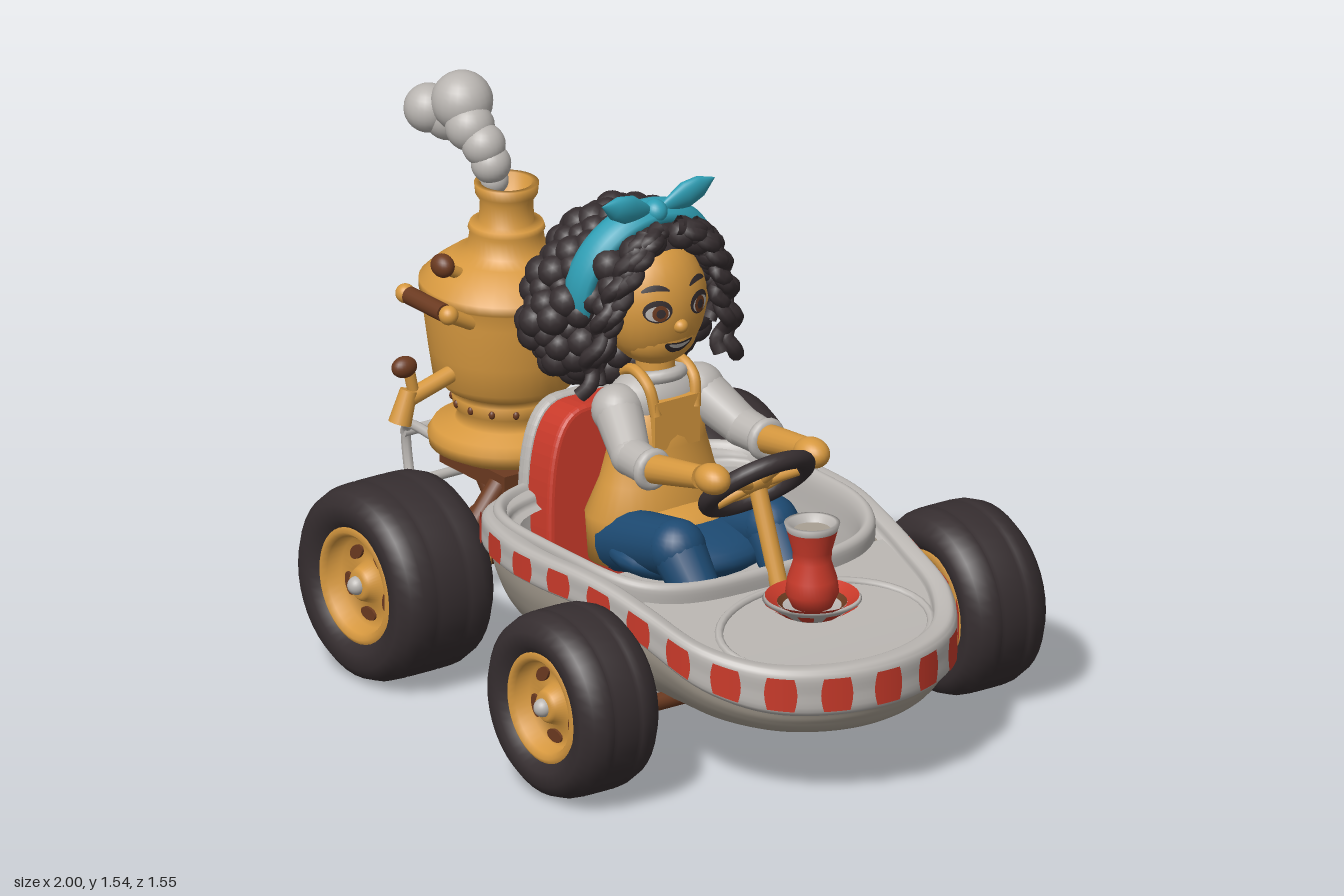
import * as THREE from 'three';
import { mergeGeometries } from 'three/addons/utils/BufferGeometryUtils.js';
import { ParametricGeometry } from 'three/addons/geometries/ParametricGeometry.js';

const V = (x, y, z) => new THREE.Vector3(x, y, z);
const mat = (name, color) => Object.assign(new THREE.MeshStandardMaterial({ color, side: THREE.DoubleSide }), { name });
const dark = mat('dark rubber and hair', 0x362e30), gold = mat('warm gold', 0xd6983f), grey = mat('pale grey', 0xb9b5b1);
const beige = mat('shaded beige', 0xa89f92), red = mat('red', 0xc93a2a), teal = mat('teal', 0x2f9fb5);
const navy = mat('navy', 0x1d4a72), brown = mat('brown', 0x6b3a20);

function add(parent, name, geo, material, pos = [0, 0, 0], rot = [0, 0, 0], scale = [1, 1, 1]) {
  const m = new THREE.Mesh(geo, material);
  m.name = name;
  m.position.set(...pos); m.rotation.set(...rot); m.scale.set(...scale);
  parent.add(m);
  return m;
}
function group(parent, name, pos = [0, 0, 0]) {
  const g = new THREE.Group();
  g.name = name; g.position.set(...pos); parent.add(g);
  return g;
}
const ball = (p, name, material, pos, r) => add(p, name, new THREE.SphereGeometry(1, 24, 16), material, pos, [0, 0, 0], Array.isArray(r) ? r : [r, r, r]);
const lathe = (pts, seg = 40, start = 0, len = Math.PI * 2) => new THREE.LatheGeometry(pts.map(p => new THREE.Vector2(...p)), seg, start, len);
const tube = (pts, r, closed = false) => new THREE.TubeGeometry(new THREE.CatmullRomCurve3(pts.map(p => V(...p)), closed), 48, r, 8, closed);
function rod(parent, name, material, a, b, r1, r2 = r1) {
  const A = V(...a), B = V(...b), d = B.clone().sub(A);
  const m = add(parent, name, new THREE.CylinderGeometry(r2, r1, d.length(), 18), material);
  m.position.copy(A).add(B).multiplyScalar(0.5);
  m.quaternion.setFromUnitVectors(V(0, 1, 0), d.normalize());
  return m;
}

// Hull: one plan outline, a section swept round it, and a rim that falls toward the nose
const half = [[-0.38, 0], [-0.37, 0.25], [-0.3, 0.42], [-0.1, 0.5], [0.1, 0.51], [0.35, 0.475], [0.5, 0.455], [0.7, 0.42], [0.87, 0.31], [0.96, 0.16], [0.99, 0]];
const plan = [...half, ...half.slice(1, -1).reverse().map(([x, z]) => [x, -z])];
const outline = new THREE.CatmullRomCurve3(plan.map(([x, z]) => V(x, 0, z)), true);
const top = x => 0.54 - 0.13 * THREE.MathUtils.smoothstep(x, 0.15, 1);
const bandLow = x => top(x) - 0.1 - 0.04 * THREE.MathUtils.smoothstep(x, 0.3, 1);
function hullPoint(p, s, g, target) {
  const x = 0.3 + (p.x - 0.3) * s, low = bandLow(p.x);
  const y = g < 1 ? 0.18 + g * (low - 0.18) : low + (g - 1) * (top(p.x) - low);
  const tuck = 1 - 0.2 * Math.max(0, 1 - g) ** 2;
  return target.set(x, y, p.z * s * tuck);
}
function sweep(section, stacks) {
  const c = new THREE.CatmullRomCurve3(section.map(([s, g]) => V(s, g, 0)));
  return new ParametricGeometry((u, v, t) => {
    const q = c.getPoint(v);
    hullPoint(outline.getPointAt(u % 1), q.x, q.y, t);
  }, 120, stacks);
}

function buildBody(root) {
  const body = group(root, 'body');
  add(body, 'hullBottom', sweep([[0, 0], [0.55, 0], [0.8, 0.05], [0.9, 0.3], [0.95, 0.75], [0.965, 1]], 24), beige);
  add(body, 'hullBand', sweep([[0.965, 1], [0.993, 1.08], [1, 1.5], [0.993, 1.9], [0.965, 2], [0.91, 1.97], [0.88, 1.7], [0.85, 1.65]], 30), grey);
  for (let i = 2; i < 25; i++) add(body, 'bandSpot', new ParametricGeometry((u, v, t) => {
    const w = 0.0092 + 0.002 * Math.sin(v * Math.PI);
    hullPoint(outline.getPointAt(i / 26 + (u - 0.5) * 2 * w), 1.007, 1.15 + v * 0.68, t);
  }, 6, 6), red);
  // cockpit tub
  const section = new THREE.CatmullRomCurve3([[1, -0.05], [1, 0.005], [0.96, 0.015], [0.925, -0.01], [0.9, -0.1], [0.86, -0.21], [0.78, -0.245], [0, -0.245]].map(([s, d]) => V(s, d, 0)));
  const pw = a => Math.sign(a) * Math.abs(a) ** 0.55;
  add(body, 'cockpitTub', new ParametricGeometry((u, v, t) => {
    const a = u * Math.PI * 2, q = section.getPoint(v);
    const x = 0.05 + 0.42 * pw(Math.cos(a)) * q.x;
    t.set(x, top(x) + q.y, 0.46 * pw(Math.sin(a)) * q.x);
  }, 96, 32), grey);
  // nose deck and its oval ridge
  add(body, 'noseDeck', new ParametricGeometry((u, v, t) => {
    const p = outline.getPoint(0.27 + u * 0.23), x = 0.3 + (p.x - 0.3) * 0.88;
    t.set(x, top(x) - 0.035, (2 * v - 1) * p.z * 0.88);
  }, 24, 12), grey);
  const ridge = [];
  for (let i = 0; i < 24; i++) {
    const a = i / 24 * Math.PI * 2, x = 0.7 + 0.21 * Math.cos(a);
    ridge.push([x, top(x) - 0.035, 0.32 * Math.sin(a)]);
  }
  add(body, 'deckRidge', tube(ridge, 0.012, true), grey);
  // reclined seat back
  const shape = w => {
    const s = new THREE.Shape();
    s.moveTo(-w, 0.3); s.lineTo(w, 0.3);
    s.bezierCurveTo(w, 0.6, w * 0.95, 0.82, w * 0.45, 0.82);
    s.lineTo(-w * 0.45, 0.82);
    s.bezierCurveTo(-w * 0.95, 0.82, -w, 0.6, -w, 0.3);
    return s;
  };
  const ext = depth => ({ depth, bevelSize: 0.015, bevelThickness: 0.015, bevelSegments: 3, curveSegments: 16 });
  const seat = group(body, 'seat', [0.05, 0, 0]);
  seat.rotation.z = 0.08;
  add(seat, 'seatShell', new THREE.ExtrudeGeometry(shape(0.25), ext(0.015)), grey, [-0.365, -0.025, 0], [0, Math.PI / 2, 0]);
  add(seat, 'seatCushion', new THREE.ExtrudeGeometry(shape(0.24), ext(0.085)), red, [-0.335, -0.035, 0], [0, Math.PI / 2, 0]);
  // tea glass on a saucer with a spotted underside
  const tea = group(body, 'teaGlass', [0.64, 0.43, 0]);
  add(tea, 'saucer', lathe([[0, 0], [0.07, 0.005], [0.135, 0.05], [0.13, 0.055], [0.08, 0.025], [0, 0.02]]), grey);
  add(tea, 'saucerRing', lathe([[0.095, 0.04], [0.128, 0.06]]), red);
  add(tea, 'saucerInnerRing', lathe([[0.08, 0.031], [0.095, 0.042]]), brown);
  for (let i = 0; i < 10; i++) add(tea, 'saucerSpot', lathe([[0.087, 0.013], [0.131, 0.043]], 5, i * Math.PI / 5, 0.36), red);
  add(tea, 'glass', lathe([[0, 0.025], [0.055, 0.03], [0.073, 0.07], [0.068, 0.11], [0.052, 0.16], [0.054, 0.19], [0.07, 0.25]]), red);
  add(tea, 'glassLip', lathe([[0.07, 0.25], [0.076, 0.27], [0.064, 0.27], [0.05, 0.25]]), grey);
  add(tea, 'teaSurface', new THREE.CircleGeometry(0.055, 32), beige, [0, 0.25, 0], [-Math.PI / 2, 0, 0]);
}

function buildWheel(root, name, x, z, R, w) {
  const g = group(root, name, [x, R + 0.007, z]);
  g.rotation.x = Math.sign(z) * Math.PI / 2;
  const h = w / 2, k = R * 0.59;
  const side = [[k, h - 0.025], [k + 0.025, h - 0.003], [R - 0.045, h], [R - 0.015, h - 0.025], [R - 0.002, h - 0.06], [R, h * 0.36], [R - 0.008, h * 0.31], [R, h * 0.26]];
  add(g, 'tire', lathe([...side, ...side.map(([r, y]) => [r, -y]).reverse()]), dark);
  const dish = [[k + 0.004, h - 0.025], [k - 0.012, h - 0.015], [k - 0.025, h - 0.03], [k - 0.035, h - 0.07], [0.06, h - 0.075], [0.045, h - 0.04], [0.035, h - 0.03], [0, h - 0.03]];
  add(g, 'rim', lathe(dish), gold);
  add(g, 'rimInner', lathe(dish.map(([r, y]) => [r, -y])), gold);
  ball(g, 'hubCap', grey, [0, h - 0.03, 0], 0.026);
  rod(g, 'innerHub', brown, [0, -h - 0.03, 0], [0, -h + 0.05, 0], 0.05);
  for (let i = 0; i < 5; i++) {
    const a = i / 5 * Math.PI * 2 + 0.3;
    add(g, 'rimSlot', new THREE.CylinderGeometry(0.024, 0.024, 0.008, 14), brown, [0.09 * Math.cos(a), h - 0.07, 0.09 * Math.sin(a)], [0, -a, 0], [0.75, 1, 1.35]);
  }
}

function buildChassis(root) {
  const c = group(root, 'chassis');
  rod(c, 'rearAxle', brown, [-0.56, 0.28, -0.42], [-0.56, 0.28, 0.42], 0.038);
  rod(c, 'differential', gold, [-0.56, 0.28, -0.13], [-0.56, 0.28, 0.13], 0.075);
  rod(c, 'frontBeam', brown, [0.43, 0.195, -0.42], [0.43, 0.195, 0.42], 0.024);
  add(c, 'samovarPlatform', new THREE.BoxGeometry(0.3, 0.05, 0.26), brown, [-0.68, 0.47, 0.05]);
  for (const s of [-1, 1]) {
    rod(c, 'frameRail', brown, [-0.72, 0.32, s * 0.14], [-0.28, 0.32, s * 0.14], 0.028);
    rod(c, 'platformPost', brown, [-0.6, 0.3, s * 0.12], [-0.68, 0.47, s * 0.12 + 0.03], 0.025);
    rod(c, 'axleCollar', gold, [-0.56, 0.28, s * 0.24], [-0.56, 0.28, s * 0.29], 0.055);
    rod(c, 'rearStrut', brown, [-0.56, 0.28, s * 0.33], [-0.57, 0.46, s * 0.17], 0.03);
    rod(c, 'frontStub', brown, [0.43, 0.195, s * 0.4], [0.43, 0.26, s * 0.6], 0.028);
    rod(c, 'frontArm', brown, [0.43, 0.3, s * 0.38], [0.43, 0.27, s * 0.56], 0.026);
    rod(c, 'frontKnuckle', gold, [0.43, 0.2, s * 0.5], [0.43, 0.31, s * 0.5], 0.02);
    const z = 0.05 + s * 0.17;
    add(c, 'bumperLoop', tube([[-0.72, 0.53, z], [-0.9, 0.54, z], [-0.97, 0.5, z - s * 0.03], [-0.95, 0.36, z - s * 0.03], [-0.88, 0.31, z], [-0.7, 0.3, z]], 0.014), grey);
  }
  for (const [x, y] of [[-0.97, 0.49], [-0.945, 0.35]]) rod(c, 'bumperBar', grey, [x, y, -0.1], [x, y, 0.2], 0.014);
}

function buildSamovar(root) {
  const s = group(root, 'samovar', [-0.7, 0, 0.05]);
  add(s, 'samovarBody', lathe([[0, 0.49], [0.15, 0.49], [0.21, 0.52], [0.215, 0.55], [0.2, 0.575], [0.14, 0.59], [0.13, 0.61], [0.145, 0.63], [0.15, 0.665], [0.135, 0.675], [0.17, 0.69], [0.2, 0.72], [0.212, 0.8], [0.228, 0.92], [0.222, 0.96], [0.238, 0.97], [0.238, 0.995], [0.2, 1.03], [0.15, 1.065], [0.108, 1.08], [0.1, 1.13], [0.105, 1.14], [0.1, 1.155], [0.075, 1.16], [0.072, 1.22], [0.085, 1.24], [0.088, 1.27], [0.07, 1.27], [0.06, 1.2], [0, 1.2]]), gold);
  for (let i = 0; i < 14; i++) {
    const a = i / 14 * Math.PI * 2;
    ball(s, 'baseVent', brown, [0.146 * Math.cos(a), 0.647, 0.146 * Math.sin(a)], [0.009, 0.012, 0.009]);
  }
  for (const k of [-1, 1]) {
    rod(s, 'handleGrip', brown, [-0.08, 0.975, k * 0.265], [0.08, 0.975, k * 0.265], 0.025);
    for (const x of [-0.1, 0.1]) {
      rod(s, 'handleArm', gold, [x, 0.93, k * 0.18], [x, 0.975, k * 0.265], 0.02);
      ball(s, 'handleEnd', gold, [x, 0.975, k * 0.265], 0.027);
    }
  }
  // tap and relief valve
  rod(s, 'tapPipe', gold, [0.02, 0.77, 0.18], [0.02, 0.72, 0.36], 0.024);
  rod(s, 'tapSpout', gold, [0.02, 0.75, 0.34], [0.02, 0.66, 0.37], 0.024, 0.032);
  rod(s, 'tapStem', gold, [0.02, 0.72, 0.32], [0.02, 0.81, 0.34], 0.016);
  ball(s, 'tapKey', brown, [0.02, 0.82, 0.355], [0.028, 0.03, 0.038]);
  rod(s, 'valveStem', gold, [0.01, 1.03, 0.14], [0.01, 1.07, 0.21], 0.017);
  ball(s, 'valveKnob', brown, [0.01, 1.08, 0.22], [0.038, 0.033, 0.03]);
  // steam puffs
  for (const [x, y, z, r] of [[-0.03, 1.27, 0.02, 0.04], [-0.03, 1.32, 0.03, 0.055], [-0.05, 1.37, 0.04, 0.06], [-0.1, 1.41, 0.05, 0.068], [-0.15, 1.465, 0.04, 0.085], [-0.235, 1.43, 0.09, 0.068], [-0.2, 1.41, 0.05, 0.068]]) ball(s, 'steamPuff', grey, [x, y, z], r);
}

function buildDriver(root) {
  const d = group(root, 'driver');
  add(d, 'apron', lathe([[0, 0.38], [0.17, 0.4], [0.178, 0.53], [0.143, 0.62], [0.12, 0.72], [0.108, 0.82], [0, 0.87]]), gold, [-0.075, 0, 0], [0, 0, 0], [0.82, 1, 1.22]);
  ball(d, 'apronSkirt', gold, [0.01, 0.51, 0], [0.13, 0.06, 0.17]);
  ball(d, 'hips', navy, [0.08, 0.46, 0], [0.2, 0.075, 0.24]);
  ball(d, 'shirt', grey, [-0.085, 0.835, 0], [0.095, 0.095, 0.15]);
  rod(d, 'neck', gold, [-0.08, 0.85, 0], [-0.09, 1, 0], 0.055);
  add(d, 'collar', new THREE.TorusGeometry(0.065, 0.019, 10, 24), grey, [-0.075, 0.905, 0], [Math.PI / 2, 0.2, 0]);
  add(d, 'apronBib', new THREE.BoxGeometry(0.03, 0.14, 0.15), gold, [0.005, 0.79, 0]);
  for (const s of [-1, 1]) {
    add(d, 'apronStrap', tube([[0.01, 0.82, s * 0.065], [-0.01, 0.9, s * 0.075], [-0.08, 0.93, s * 0.075], [-0.16, 0.88, s * 0.07], [-0.17, 0.78, s * 0.05]], 0.016), gold);
    // arms
    ball(d, 'shoulder', grey, [-0.07, 0.83, s * 0.135], 0.072);
    rod(d, 'upperSleeve', grey, [-0.07, 0.83, s * 0.135], [0.06, 0.75, s * 0.185], 0.068, 0.055);
    ball(d, 'elbow', grey, [0.06, 0.75, s * 0.185], 0.056);
    rod(d, 'lowerSleeve', grey, [0.06, 0.75, s * 0.185], [0.16, 0.745, s * 0.19], 0.055, 0.05);
    add(d, 'cuff', new THREE.TorusGeometry(0.042, 0.018, 10, 20), grey, [0.165, 0.745, s * 0.19], [0, Math.PI / 2, 0]);
    rod(d, 'forearm', gold, [0.15, 0.745, s * 0.19], [0.37, 0.785, s * 0.175], 0.042, 0.033);
    ball(d, 'hand', gold, [0.41, 0.79, s * 0.165], [0.058, 0.042, 0.045]);
    // legs
    rod(d, 'thigh', navy, [-0.05, 0.46, s * 0.13], [0.23, 0.53, s * 0.155], 0.09, 0.08);
    ball(d, 'knee', navy, [0.23, 0.53, s * 0.155], 0.08);
    rod(d, 'shin', navy, [0.23, 0.53, s * 0.155], [0.37, 0.36, s * 0.14], 0.078, 0.055);
    ball(d, 'shoe', brown, [0.36, 0.33, s * 0.14], [0.06, 0.04, 0.045]);
  }

  // head and face
  const head = group(d, 'head');
  const [cx, cy, rx, ry, rz] = [-0.09, 1.115, 0.128, 0.18, 0.152];
  ball(head, 'face', gold, [cx, cy, 0], [rx, ry, rz]);
  ball(head, 'jaw', gold, [-0.07, 1.03, 0], [0.092, 0.09, 0.115]);
  ball(head, 'nose', gold, [0.033, 1.075, 0], [0.022, 0.02, 0.021]);
  const patch = (name, material, y0, z0, ay, az, off, bend = 0) => add(head, name, new ParametricGeometry((u, v, t) => {
    const a = u * Math.PI * 2, dz = az * v * Math.cos(a), z = z0 + dz;
    const y = y0 + ay * v * Math.sin(a) + bend * dz * dz;
    t.set(cx + rx * Math.sqrt(Math.max(0, 1 - ((y - cy) / ry) ** 2 - (z / rz) ** 2)) + off, y, z);
  }, 24, 4), material);
  patch('mouth', dark, 1.01, 0, 0.017, 0.045, 0.009, 8);
  patch('teeth', grey, 1.016, 0, 0.007, 0.034, 0.012, 8);
  for (const s of [-1, 1]) {
    patch('eyeOutline', dark, 1.128, s * 0.068, 0.032, 0.038, 0.003);
    patch('eyeWhite', grey, 1.123, s * 0.07, 0.022, 0.031, 0.005);
    patch('iris', brown, 1.124, s * 0.065, 0.023, 0.021, 0.007);
    patch('pupil', dark, 1.124, s * 0.065, 0.013, 0.012, 0.009);
    patch('eyebrow', dark, 1.193, s * 0.068, 0.008, 0.036, 0.004, -8);
    ball(head, 'ear', gold, [-0.09, 1.09, s * 0.155], [0.025, 0.04, 0.02]);
  }

  // curly hair: core, cap, side fringe, bumps and front ringlets
  const hair = group(d, 'hair');
  ball(hair, 'hairCap', dark, [-0.17, 1.16, 0], [0.17, 0.2, 0.185]);
  ball(hair, 'hairCore', dark, [-0.25, 1.08, 0], [0.15, 0.22, 0.23]);
  const bumps = [];
  const bump = (x, y, z, r) => bumps.push(new THREE.IcosahedronGeometry(r, 2).translate(x, y, z));
  for (let i = 0; i < 190; i++) {
    const ny = 1 - 2 * (i + 0.5) / 190, r = Math.sqrt(1 - ny * ny), a = i * 2.39996, k = Math.abs(Math.sin(i * 12.9));
    const x = -0.25 + (0.145 + 0.015 * k) * r * Math.cos(a), y = 1.095 + 0.225 * ny, z = (0.25 + 0.02 * k) * r * Math.sin(a) * (1 - 0.22 * ny);
    if (x < -0.13 || Math.abs(z) > 0.18) bump(x, y, z, 0.034 + 0.014 * k);
  }
  for (const s of [-1, 1]) for (const [x, y, z, r] of [[-0.03, 1.31, 0.05, 0.042], [-0.03, 1.29, 0.1, 0.05], [-0.02, 1.24, 0.135, 0.04], [-0.05, 1.2, 0.165, 0.042], [-0.08, 1.25, 0.155, 0.05], [-0.07, 1.14, 0.178, 0.035], [-0.12, 1.15, 0.18, 0.045]]) bump(x, y, s * z, r);
  add(hair, 'curls', mergeGeometries(bumps), dark);
  const strands = [[1.34, 0.02, 1.3, 0.17, 1.02, 0.19], [1.35, 0.03, 1.31, 0.19, 0.92, 0.215], [1.33, 0.03, 1.3, 0.13, 1.16, 0.15], [1.34, 0.08, 1.26, 0.21, 0.9, 0.245]];
  for (const s of [-1, 1]) strands.forEach(([y0, z0, y1, z1, y2, z2], n) => {
    const c = new THREE.QuadraticBezierCurve3(V(-0.02, y0, z0), V(0.06 - 0.02 * n, y1, z1), V(-0.075, y2, z2)), pts = [];
    for (let i = 0; i <= 24; i++) {
      const p = c.getPoint(i / 24), w = 0.014 * i / 24 + 0.003;
      pts.push([p.x + w * Math.cos(i * 1.5 + n), p.y, s * (p.z + w * Math.sin(i * 1.5 + n))]);
    }
    add(hair, 'ringlet', tube(pts, 0.022), dark);
  });

  // knotted head scarf
  const scarf = group(d, 'headScarf', [-0.15, 1.16, 0]);
  scarf.rotation.z = -0.22;
  add(scarf, 'scarfBand', new THREE.TorusGeometry(0.208, 0.028, 12, 48, Math.PI * 1.16).rotateZ(-Math.PI * 0.08).scale(1, 1, 1.9).rotateY(Math.PI / 2), teal);
  ball(scarf, 'scarfKnot', teal, [0.02, 0.222, 0], [0.035, 0.032, 0.032]);
  for (const s of [-1, 1]) add(scarf, 'scarfEar', lathe([[0, 0], [0.022, 0.04], [0.042, 0.1], [0.034, 0.15], [0, 0.2]]), teal, [0.02, 0.217, 0], [s * 1.24, 0, 0], [0.6, 1, 1]);
}

function buildSteering(root) {
  const g = group(root, 'steeringWheel', [0.385, 0.73, 0]);
  g.quaternion.setFromUnitVectors(V(0, 0, 1), V(-0.67, 0.742, 0).normalize());
  add(g, 'steeringRim', new THREE.TorusGeometry(0.145, 0.026, 14, 40), dark);
  add(g, 'steeringInnerRing', new THREE.TorusGeometry(0.118, 0.012, 10, 40), gold, [0, 0, 0.012]);
  ball(g, 'steeringHub', gold, [0, 0, 0], [0.045, 0.045, 0.025]);
  for (let i = 0; i < 5; i++) {
    const a = i / 5 * Math.PI * 2 + 0.84;
    rod(g, 'steeringSpoke', gold, [0, 0, 0], [0.135 * Math.cos(a), 0.135 * Math.sin(a), 0], 0.016);
  }
  rod(root, 'steeringColumn', gold, [0.385, 0.73, 0], [0.49, 0.46, 0], 0.025);
}

export function createModel() {
  const root = new THREE.Group();
  root.name = 'kart';
  buildBody(root);
  for (const s of [-1, 1]) {
    buildWheel(root, 'rearWheel', -0.56, s * 0.52, 0.274, 0.32);
    buildWheel(root, 'frontWheel', 0.43, s * 0.645, 0.26, 0.26);
  }
  buildChassis(root);
  buildSamovar(root);
  buildDriver(root);
  buildSteering(root);
  return root;
}
